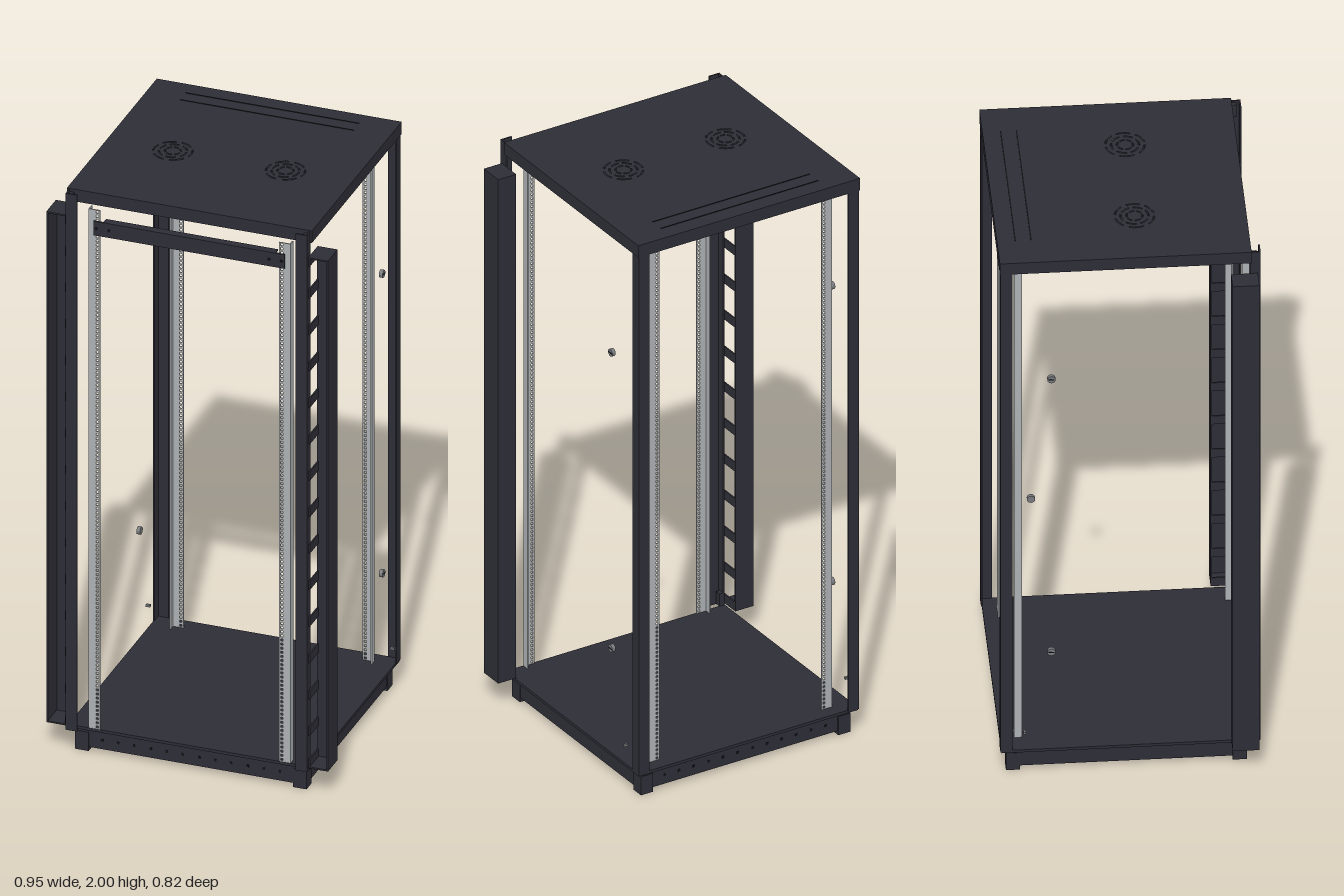
import * as THREE from 'three';

const mat = (name, color) => {
  const m = new THREE.MeshStandardMaterial({ color });
  m.name = name;
  return m;
};

export function createModel() {
  const dark = mat('dark painted steel', 0x2d2d36);
  const black = mat('black gaps', 0x141417);
  const zinc = mat('zinc plated steel', 0xadb1b3);
  const grey = mat('latch grey', 0x77797c);

  const root = new THREE.Group();
  root.name = 'equipmentRack';

  const add = (name, geometry, material, parent = root) => {
    const m = new THREE.Mesh(geometry, material);
    m.name = name;
    parent.add(m);
    return m;
  };
  // Box given by its minimum and maximum along each axis
  const box = (name, x0, x1, y0, y1, z0, z1, material = dark, parent = root) => {
    const m = add(name, new THREE.BoxGeometry(Math.abs(x1 - x0), y1 - y0, z1 - z0), material, parent);
    m.position.set((x0 + x1) / 2, (y0 + y1) / 2, (z0 + z1) / 2);
    return m;
  };

  // Base, floor and feet
  box('plinth', -0.387, 0.387, 0.014, 0.08, -0.388, 0.368);
  box('floorPlate', -0.408, 0.408, 0.08, 0.09, -0.408, 0.383);
  for (const sx of [-1, 1]) {
    for (const z of [-0.392, 0.325]) box('foot', sx * 0.345, sx * 0.39, 0, 0.066, z, z + 0.045);
  }
  for (let i = 0; i < 12; i++) {
    const x = -0.3 + i * (0.6 / 11);
    box('plinthSlot', x - 0.004, x + 0.004, 0.042, 0.05, 0.367, 0.37, black);
    box('plinthSlot', x - 0.004, x + 0.004, 0.042, 0.05, -0.39, -0.387, black);
  }

  // Roof tray: a top sheet with folded rims
  box('roofSheet', -0.413, 0.413, 1.985, 1.996, -0.413, 0.383);
  box('roofFrontRim', -0.413, 0.413, 1.953, 1.985, 0.375, 0.383);
  box('roofRearRim', -0.413, 0.413, 1.953, 1.985, -0.413, -0.405);
  for (const s of [-1, 1]) box('roofSideRim', s * 0.405, s * 0.413, 1.953, 1.985, -0.405, 0.375);

  // Cable slots and fan grilles in the roof
  for (const z of [-0.355, -0.305]) {
    box('roofSlot', -0.293, 0.293, 1.994, 1.9975, z - 0.002, z + 0.002, black);
  }
  for (const s of [-1, 1]) {
    const fan = new THREE.Group();
    fan.name = 'fanGrille';
    fan.position.set(s * 0.19, 1.997, 0.03);
    fan.rotation.x = -Math.PI / 2;
    root.add(fan);
    [0.025, 0.044, 0.062].forEach((r, ring) => {
      for (let k = 0; k < 6; k++) {
        const arc = new THREE.TorusGeometry(r, 0.003, 4, 6, 0.75);
        const m = add('grilleBar', arc, dark, fan);
        m.rotation.z = k * Math.PI / 3 + ring * 0.35;
      }
    });
  }

  // Punched rail plate, extruded thinly toward +z
  const railBottom = 0.09, railTop = 1.935;
  const plate = new THREE.Shape();
  plate.moveTo(0, railBottom);
  plate.lineTo(0.038, railBottom);
  plate.lineTo(0.038, railTop);
  plate.lineTo(0, railTop);
  plate.closePath();
  const holes = 126, pitch = (railTop - railBottom) / holes, h = 0.004;
  for (let i = 0; i < holes; i++) {
    const y = railBottom + (i + 0.5) * pitch, x = 0.009;
    const p = new THREE.Path();
    p.moveTo(x - h, y - h);
    p.lineTo(x - h, y + h);
    p.lineTo(x + h, y + h);
    p.lineTo(x + h, y - h);
    p.closePath();
    plate.holes.push(p);
  }
  const railGeometry = new THREE.ExtrudeGeometry(plate, { depth: 0.004, bevelEnabled: false });

  for (const s of [-1, 1]) {
    // Mounting rails, front and rear, each with a folded side
    for (const [z, zs] of [[0.378, 0.358], [-0.362, -0.358]]) {
      const rail = add(z > 0 ? 'frontRail' : 'rearRail', railGeometry, zinc);
      // The right-hand plate is turned around so its faces stay outward
      rail.position.set(s * 0.302, 0, s > 0 ? z : z + 0.004);
      if (s < 0) rail.rotation.y = Math.PI;
      box('railSide', s * 0.337, s * 0.341, railBottom, railTop, zs, zs + 0.02, zinc);
    }

    // Angle-section corner posts
    box('frontPostFace', s * 0.368, s * 0.407, 0.085, 1.992, 0.407, 0.412);
    box('frontPostSide', s * 0.402, s * 0.407, 0.085, 1.992, 0.38, 0.407);
    box('rearPostBack', s * 0.37, s * 0.41, 0.085, 1.955, -0.411, -0.406);
    box('rearPostSide', s * 0.405, s * 0.41, 0.085, 1.955, -0.406, -0.373);
    for (const y of [0.09, 1.94]) box('postBracket', s * 0.388, s * 0.404, y, y + 0.045, 0.38, 0.4);

    // Vertical cable duct: closed back and outside, open front, fingers inside
    const duct = new THREE.Group();
    duct.name = 'cableDuct';
    root.add(duct);
    const y0 = 0.095, y1 = 1.91;
    box('ductBack', s * 0.408, s * 0.475, y0, y1, 0.318, 0.323, dark, duct);
    box('ductOuterSide', s * 0.47, s * 0.475, y0, y1, 0.323, 0.403, dark, duct);
    for (const y of [y0, y1 - 0.005]) box('ductEnd', s * 0.408, s * 0.47, y, y + 0.005, 0.323, 0.403, dark, duct);
    const rungs = 14, step = (y1 - y0) / rungs;
    for (let i = 0; i <= rungs; i++) {
      const y = Math.min(Math.max(y0 + i * step, y0 + 0.016), y1 - 0.016);
      box('ductFinger', s * 0.408, s * 0.413, y - 0.016, y + 0.016, 0.323, 0.4, dark, duct);
    }

    // Side panel latches and grounding stud
    for (const y of [0.47, 1.535]) {
      const latch = add('sideLatch', new THREE.CylinderGeometry(0.013, 0.013, 0.012, 16), grey);
      latch.rotation.z = Math.PI / 2;
      latch.position.set(s * 0.409, y, -0.25);
      box('latchSlot', s * 0.414, s * 0.416, y - 0.0015, y + 0.0015, -0.26, -0.24, black);
    }
    box('groundStud', s * 0.405, s * 0.419, 0.157, 0.165, -0.339, -0.331, grey);
  }

  // Cross panel between the front rails, with end screws
  box('crossPanel', -0.322, 0.322, 1.847, 1.897, 0.382, 0.388);
  box('crossPanelTopFold', -0.29, 0.29, 1.892, 1.897, 0.36, 0.382);
  for (const x of [-0.312, -0.27, 0.27, 0.312]) {
    const screw = add('panelScrew', new THREE.CylinderGeometry(0.005, 0.005, 0.004, 10), black);
    screw.rotation.x = Math.PI / 2;
    screw.position.set(x, 1.872, 0.389);
  }

  return root;
}
